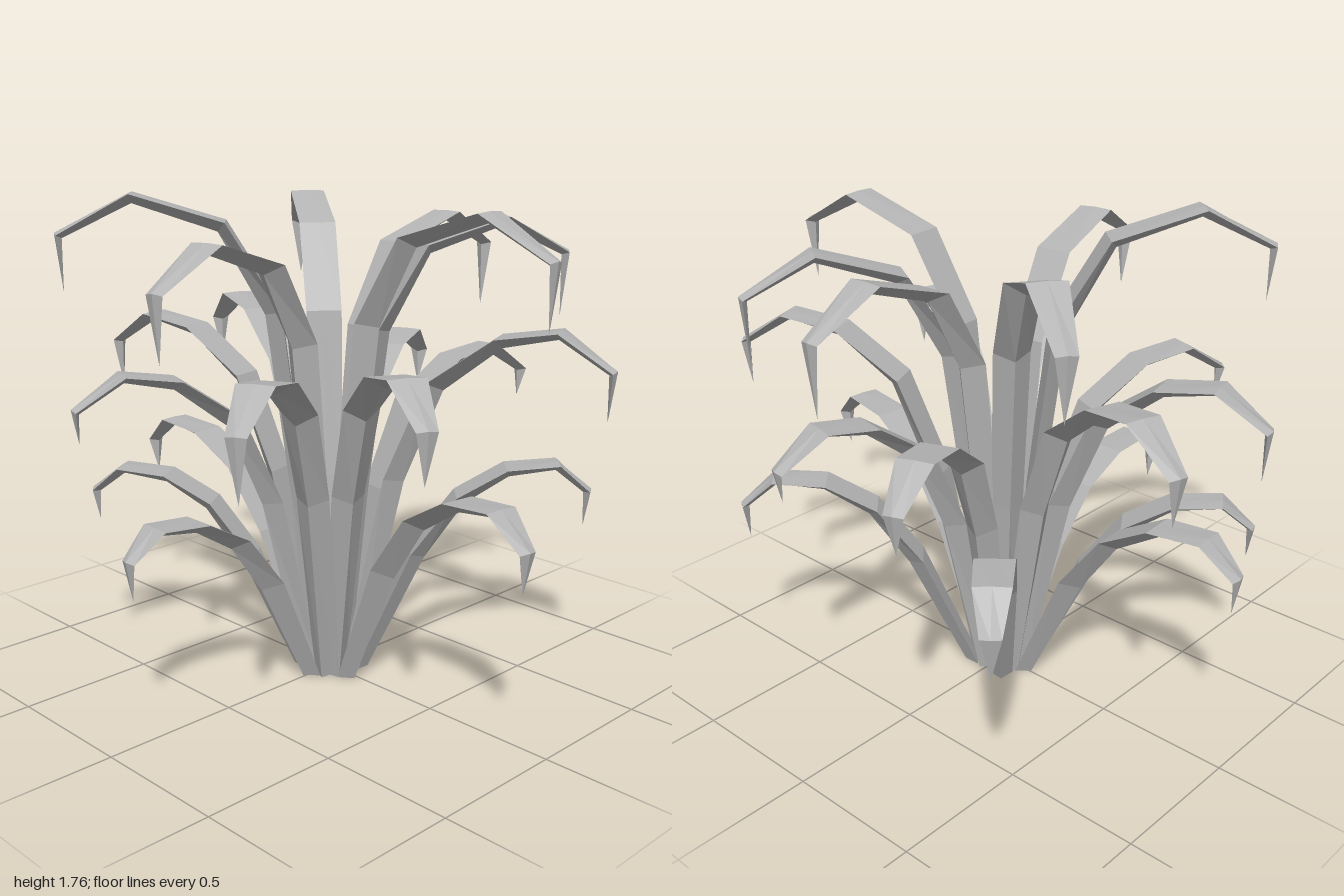
import * as THREE from 'three';

// Side profiles per tier: [reach fraction, height fraction, blade width, keel depth, crown lift]
const TIERS = {
  high: [[0.03, 0, 0.08, 0.05, 0], [0.1, 0.42, 0.115, 0.055, 0], [0.18, 0.77, 0.13, 0.06, 0],
    [0.38, 0.945, 0.135, 0.045, 0], [0.72, 1, 0.13, 0.035, 0.003], [0.99, 0.92, 0.07, 0.02, 0.012]],
  mid: [[0.06, 0, 0.085, 0.055, 0], [0.22, 0.58, 0.12, 0.06, 0], [0.37, 0.85, 0.13, 0.055, 0],
    [0.6, 0.975, 0.135, 0.04, 0], [0.81, 1, 0.13, 0.03, 0.003], [0.99, 0.905, 0.07, 0.02, 0.012]],
  low: [[0.1, 0, 0.085, 0.05, 0], [0.31, 0.58, 0.125, 0.06, 0], [0.48, 0.85, 0.13, 0.05, 0],
    [0.67, 0.98, 0.135, 0.04, 0], [0.87, 1, 0.125, 0.03, 0.003], [0.99, 0.87, 0.07, 0.02, 0.012]],
};

// Each leaf: tier, outer end x and z, crest height, tip height
const LEAVES = [
  ['mid', -0.24, -0.95, 1.28, 0.98], ['low', -0.05, -0.99, 0.82, 0.58],
  ['mid', 0.29, -0.96, 1.31, 1.02], ['high', 0.55, -0.74, 1.72, 1.37],
  ['low', 0.77, -0.65, 0.84, 0.58], ['mid', 0.85, -0.33, 1.17, 0.92],
  ['high', 0.865, -0.01, 1.66, 1.28], ['mid', 0.88, 0.18, 1.16, 0.94],
  ['high', 0.75, 0.465, 1.67, 1.3], ['low', 0.67, 0.67, 0.8, 0.56],
  ['mid', 0.42, 0.915, 1.33, 1.03], ['high', 0.07, 0.91, 1.73, 1.37],
  ['low', -0.12, 0.99, 0.84, 0.59], ['mid', -0.45, 0.86, 1.27, 0.98],
  ['mid', -0.84, 0.465, 1.25, 0.92], ['high', -0.865, 0.13, 1.64, 1.29],
  ['low', -0.88, -0.04, 0.72, 0.49], ['mid', -0.85, -0.36, 1.18, 0.95],
  ['high', -0.7, -0.64, 1.76, 1.42], ['low', -0.51, -0.76, 0.74, 0.52],
];

// Solid keeled blade lofted along +x: flat top between two rims, keel hanging below
function leafGeometry(tier, reach, crest, tip) {
  const profile = TIERS[tier].map(([r, y, ...size]) => [r * reach, y * crest, ...size]);
  profile.push([0.975 * reach, tip, 0, 0, 0]);
  const rows = profile.map(([r, y, w, depth, lift], i) => {
    const a = profile[Math.max(i - 1, 0)], b = profile[Math.min(i + 1, profile.length - 1)];
    const dr = b[0] - a[0], dy = b[1] - a[1], len = Math.hypot(dr, dy);
    const keelY = i === 0 ? 0 : y - (dr / len) * depth;
    return [
      [r, y, -w / 2],
      [r + (dy / len) * depth, keelY, 0],
      [r, y, w / 2],
      [r - (dy / len) * lift, y + (dr / len) * lift, 0],
    ];
  });
  const positions = [];
  const addTriangle = (...corners) => corners.forEach((p) => positions.push(...p));
  for (let i = 0; i < rows.length - 1; i++) {
    for (let j = 0; j < 4; j++) {
      const k = (j + 1) % 4;
      const a = rows[i][j], b = rows[i][k], c = rows[i + 1][k], d = rows[i + 1][j];
      addTriangle(a, b, c);
      if (i < rows.length - 2) addTriangle(a, c, d);
    }
  }
  // Cut end at the ground
  addTriangle(rows[0][0], rows[0][2], rows[0][1]);
  const geometry = new THREE.BufferGeometry();
  geometry.setAttribute('position', new THREE.Float32BufferAttribute(positions, 3));
  geometry.computeVertexNormals();
  return geometry;
}

export function createModel() {
  const plant = new THREE.Group();
  plant.name = 'plant';
  const leafGrey = new THREE.MeshStandardMaterial({ color: 0xb4b4b4, flatShading: true, side: THREE.DoubleSide });
  leafGrey.name = 'leafGrey';

  // Rosette of arching leaves in three tiers
  for (const [tier, x, z, crest, tip] of LEAVES) {
    const leaf = new THREE.Mesh(leafGeometry(tier, Math.hypot(x, z), crest, tip), leafGrey);
    leaf.name = `${tier}Leaf`;
    leaf.rotation.y = Math.atan2(-z, x);
    plant.add(leaf);
  }
  return plant;
}
